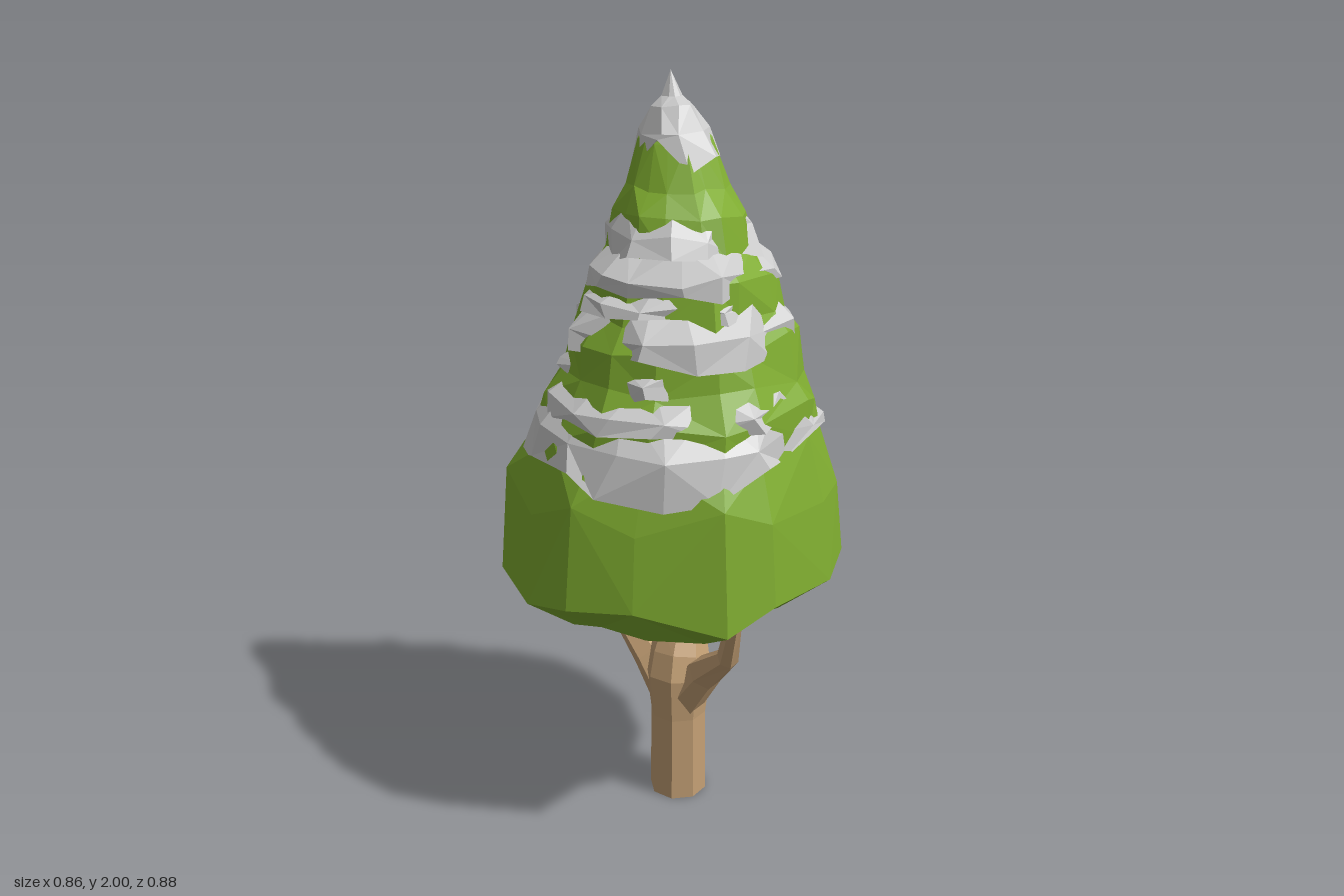
import * as THREE from 'three';

const mat = (color) => new THREE.MeshStandardMaterial({ color, flatShading: true });

function seeded(seed) {
  let s = seed;
  return () => (s = (s * 16807) % 2147483647) / 2147483647;
}

// Skin a stack of vertex loops, ordered so faces look outward
function skin(rings) {
  const n = rings[0].length, pos = [], idx = [];
  rings.forEach((ring) => ring.forEach((p) => pos.push(p.x, p.y, p.z)));
  for (let j = 0; j < rings.length - 1; j++) {
    for (let i = 0; i < n; i++) {
      const k = (i + 1) % n;
      const a = j * n + i, b = j * n + k, c = b + n, d = a + n;
      // Alternate the diagonals for broad, irregular facets
      if ((i + j) % 2) idx.push(a, d, c, a, c, b);
      else idx.push(a, d, b, d, c, b);
    }
  }
  const g = new THREE.BufferGeometry();
  g.setAttribute('position', new THREE.Float32BufferAttribute(pos, 3));
  g.setIndex(idx);
  g.computeVertexNormals();
  return g;
}

// Tapered wooden limb through [x, y, z, radius] points, closed at both ends
function limb(points, sides) {
  const at = points.map((p) => new THREE.Vector3(p[0], p[1], p[2]));
  const last = at.length - 1;
  const rings = at.map((c, i) => {
    const d = at[Math.min(i + 1, last)].clone().sub(at[Math.max(i - 1, 0)]).normalize();
    if (i === 0 && c.y === 0) d.set(0, 1, 0);
    const u = d.clone().cross(new THREE.Vector3(0, 0, 1)).normalize();
    const v = u.clone().cross(d);
    return Array.from({ length: sides }, (_, k) => {
      const a = ((k + 0.5) / sides) * Math.PI * 2, r = points[i][3];
      return c.clone().addScaledVector(u, Math.cos(a) * r).addScaledVector(v, Math.sin(a) * r);
    });
  });
  const cap = (c) => Array(sides).fill(c);
  return skin([cap(at[0]), ...rings, cap(at[last])]);
}

// The crown leans slightly to one side in its middle and back at its tip
const leanX = (y) => (y < 1 ? 0 : y < 1.55 ? 0.03 * Math.min(1, (y - 1) / 0.2) : 0.03 - 0.09 * (y - 1.55));
const leanZ = (y) => (y < 1 ? 0 : -0.02 * (y - 1));

// One uneven ring of snow
function ring(sides, y, r, rand, jr, jy, shape = () => [0, 0]) {
  return Array.from({ length: sides }, (_, i) => {
    const a = ((i + (r > 0 ? (rand() - 0.5) * 0.4 : 0)) / sides) * Math.PI * 2;
    const [dr, dy] = shape(a, i);
    const rr = r > 0 ? r + dr + (rand() - 0.5) * jr : 0;
    const yy = y + dy + (rand() - 0.5) * jy;
    return new THREE.Vector3(leanX(y) + Math.cos(a) * rr, yy, leanZ(y) + Math.sin(a) * rr);
  });
}

// Irregular plan outline of the crown's rim, [x, z]
const RIM = [
  [0.42, 0.13], [0.37, 0.27], [0.17, 0.395], [0, 0.44], [-0.165, 0.41], [-0.35, 0.3], [-0.415, 0.15],
  [-0.435, -0.02], [-0.375, -0.22], [-0.26, -0.34], [-0.11, -0.445], [0.02, -0.43], [0.22, -0.375],
  [0.395, -0.25], [0.435, -0.125],
];

// One ring of foliage: the rim outline scaled to mean radius r
function leafRing(y, r, rand, jr, jy) {
  return RIM.map(([x, z]) => {
    const s = (r + (rand() - 0.5) * jr) / 0.444;
    return new THREE.Vector3(leanX(y) + x * s, y + (rand() - 0.5) * jy, leanZ(y) + z * s);
  });
}

export function createModel() {
  const tree = new THREE.Group();
  tree.name = 'snowyTree';
  const wood = mat(0xc4a075), green = mat(0x7fac30), white = mat(0xcccccc);
  const add = (name, geometry, material) => {
    const m = new THREE.Mesh(geometry, material);
    m.name = name;
    tree.add(m);
  };

  // Trunk, flaring into a fork: one branch reaches forward, the other slightly back
  add('trunk', limb([
    [0.02, 0, -0.015, 0.08], [0.02, 0.25, -0.015, 0.078], [0.018, 0.37, -0.018, 0.092],
    [0.015, 0.43, -0.03, 0.084], [0.01, 0.5, -0.05, 0.066], [0.01, 0.75, -0.09, 0.06],
  ], 8), wood);
  add('rightBranch', limb([
    [0.01, 0.28, -0.015, 0.062], [-0.08, 0.395, -0.02, 0.052], [-0.245, 0.54, -0.035, 0.024],
    [-0.295, 0.65, -0.05, 0.018], [-0.31, 0.74, -0.055, 0.012],
  ], 6), wood);
  add('leftBranch', limb([
    [0.03, 0.28, -0.01, 0.062], [0.12, 0.405, 0.0, 0.05], [0.23, 0.51, 0.055, 0.03],
    [0.28, 0.64, 0.11, 0.022], [0.3, 0.74, 0.13, 0.014],
  ], 6), wood);

  // Crown: broad faceted skirt below, stepped tiers above
  const rand = seeded(41);
  const crown = [
    [0.67, 0, 0, 0], [0.595, 0.16, 0.03, 0.02], [0.625, 0.29, 0.03, 0.05], [0.74, 0.44, 0.012, 0.09],
    [0.98, 0.415, 0.02, 0.08], [1.11, 0.36, 0.02, 0.05], [1.2, 0.34, 0.02, 0.03], [1.27, 0.295, 0.02, 0.03],
    [1.37, 0.28, 0.02, 0.03], [1.43, 0.24, 0.02, 0.02], [1.52, 0.225, 0.02, 0.02], [1.58, 0.18, 0.02, 0.02],
    [1.67, 0.16, 0.015, 0.02], [1.73, 0.118, 0.015, 0.02], [1.84, 0.083, 0.01, 0.02], [1.91, 0.04, 0.01, 0.01],
    [1.93, 0, 0, 0],
  ];
  add('foliage', skin(crown.map(([y, r, jr, jy]) => leafRing(y, r, rand, jr, jy))), green);

  // Snow tiers: [bottom y, r, edge y, r, inner y, r, raggedness, bare share]
  const tiers = [
    [1.06, 0.39, 1.15, 0.367, 1.25, 0.29, 0.1, 0.1],
    [1.18, 0.348, 1.215, 0.343, 1.28, 0.27, 0.03, 0.35],
    [1.26, 0.312, 1.3, 0.302, 1.34, 0.25, 0.03, 0.65],
    [1.35, 0.298, 1.4, 0.288, 1.47, 0.21, 0.04, 0.15],
    [1.445, 0.255, 1.475, 0.25, 1.5, 0.2, 0.02, 0.5],
    [1.5, 0.243, 1.54, 0.234, 1.6, 0.16, 0.03, 0.15],
    [1.58, 0.2, 1.63, 0.185, 1.7, 0.13, 0.04, 0.1],
    [1.665, 0.165, 1.69, 0.155, 1.74, 0.1, 0.03, 0.6],
  ];
  tiers.forEach(([y0, r0, y1, r1, y2, r2, rag, bare], t) => {
    const rnd = seeded(97 + t * 131), sides = 18 - t;
    // Bare spots sink into the foliage, but not on the snowier back right side
    const spots = Array.from({ length: sides }, (_, i) =>
      (rnd() < bare && Math.cos((i / sides) * Math.PI * 2 - 3.93) < 0.7 ? -0.04 : 0));
    // The lowest tier climbs at the back left and hangs lower at the back right
    const climb = (a) => (t > 0 ? 0
      : 0.1 * Math.max(0, Math.cos(a - 5.5)) ** 4 - 0.04 * Math.max(0, Math.cos(a - 3.93)) ** 2);
    const drop = (a, i) => [spots[i], (rnd() - 0.5) * rag + climb(a)];
    const sink = (a, i) => [spots[i], 0];
    add('snowTier' + (t + 1), skin([
      ring(sides, y0 + 0.02, r0 - 0.08, rnd, 0, 0),
      ring(sides, y0, r0, rnd, 0.02, 0.02, drop),
      ring(sides, y1, r1, rnd, 0.02, 0.03, sink),
      ring(sides, y2, r2, rnd, 0.02, 0.02),
    ]), white);
  });

  // Snow cap hanging lowest on the right, with a bare notch at the front
  const rnd = seeded(733);
  const tongues = (a, i) => {
    const right = Math.max(0, Math.cos(a - 3.3)) ** 6;
    const front = Math.max(0, Math.cos(a - Math.PI / 2)) ** 3;
    return [0.03 * right - 0.02 * front, (i % 2 ? -0.02 : 0.015) - 0.08 * right + 0.05 * front];
  };
  add('snowCap', skin([
    ring(9, 1.83, 0.05, rnd, 0, 0),
    ring(9, 1.78, 0.112, rnd, 0.006, 0.02, tongues),
    ring(9, 1.86, 0.088, rnd, 0.01, 0.02),
    ring(9, 1.92, 0.055, rnd, 0.01, 0.015),
    ring(9, 1.94, 0.026, rnd, 0.004, 0),
    ring(9, 2, 0, rnd, 0, 0),
  ]), white);

  return tree;
}
